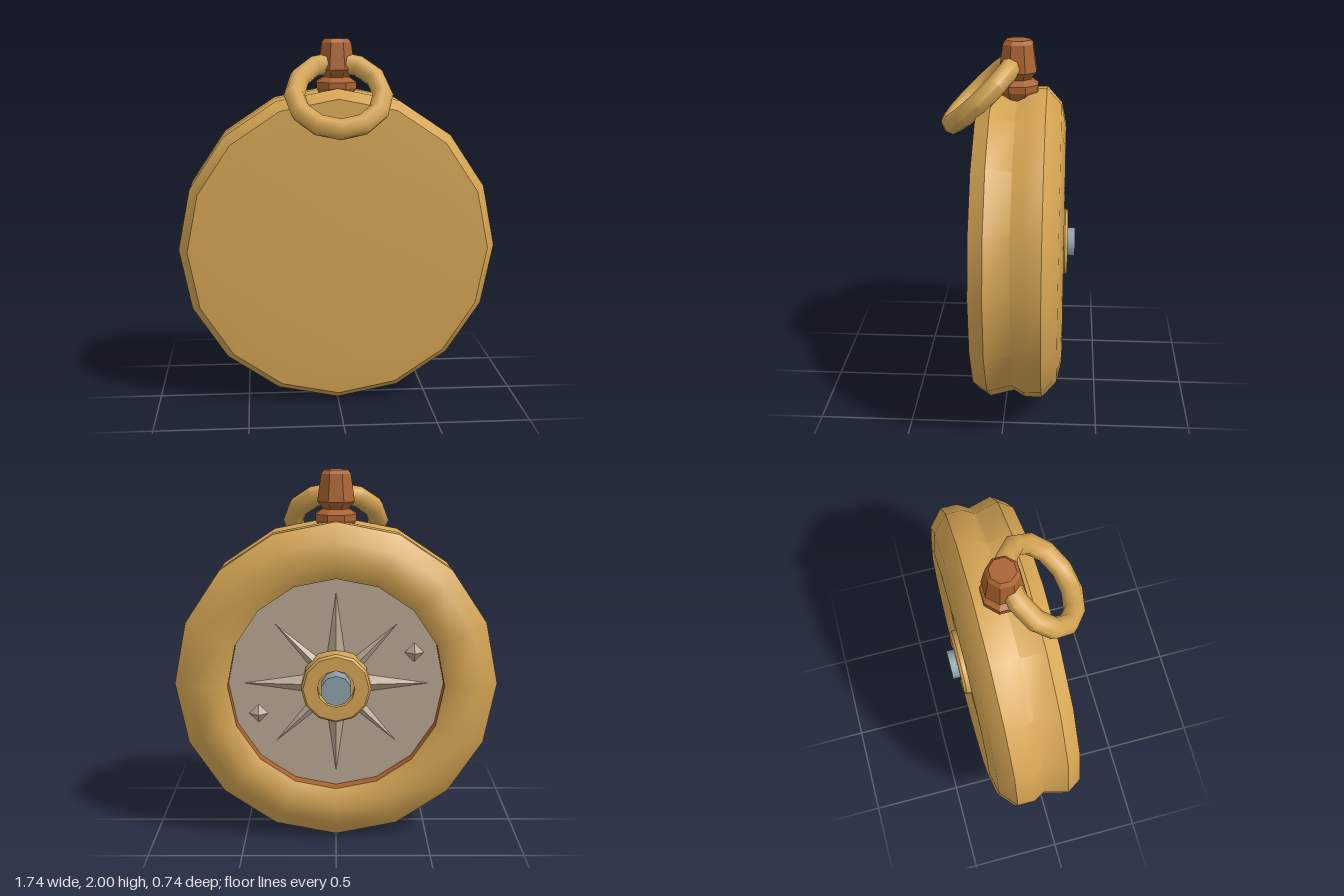
import * as THREE from 'three';
import { toCreasedNormals } from 'three/addons/utils/BufferGeometryUtils.js';

const material = (name, color) => {
  const m = new THREE.MeshStandardMaterial({ color });
  m.name = name;
  return m;
};

export function createModel() {
  const gold = material('gold', 0xd4a453);
  const copper = material('copper', 0xa9622f);
  const stone = material('pale stone', 0xb8a692);
  const steel = material('steel', 0x8ea1ab);

  const model = new THREE.Group();
  model.name = 'pocketCompass';
  const watch = new THREE.Group();
  watch.name = 'caseAssembly';
  watch.position.y = 0.87;
  model.add(watch);

  const add = (parent, name, geometry, mat, crease = 0.8) => {
    const mesh = new THREE.Mesh(toCreasedNormals(geometry, crease), mat);
    mesh.name = name;
    parent.add(mesh);
    return mesh;
  };
  const lathe = (points, sides, start = 0) =>
    new THREE.LatheGeometry(points.map(([r, h]) => new THREE.Vector2(r, h)), sides, start);
  // Profile of [radius, z] turned around the z axis
  const turnedZ = (points, sides) => lathe(points, sides).rotateX(Math.PI / 2);

  // Case: inner lip at the back, rounded rim, waist groove, flat front lid
  add(watch, 'case', turnedZ([
    [0.58, -0.27], [0.66, -0.31], [0.78, -0.285], [0.87, -0.205], [0.87, -0.11],
    [0.835, -0.05], [0.87, 0.08], [0.82, 0.157], [0.69, 0.167], [0, 0.168],
  ], 16), gold);

  // Recessed dial and its wall
  add(watch, 'dialWall', turnedZ([[0.58, -0.19], [0.58, -0.27]], 16), copper);
  const dial = add(watch, 'dial', new THREE.CircleGeometry(0.585, 16).rotateY(Math.PI), stone);
  dial.position.z = -0.2;

  // Eight-pointed star of ridged spikes, alternating long and short
  for (let i = 0; i < 8; i++) {
    const long = i % 2 === 0;
    const length = long ? 0.5 : 0.46;
    const spike = new THREE.ConeGeometry(1, 1, 4)
      .translate(0, 0.5, 0)
      .scale(long ? 0.07 : 0.05, length, long ? 0.05 : 0.04)
      .rotateZ(i * Math.PI / 4);
    add(watch, 'starSpike', spike, stone, 0.05).position.z = -0.2;
  }

  // Two small pyramid studs
  for (const s of [-1, 1]) {
    const stud = new THREE.ConeGeometry(0.055, 0.05, 4).rotateX(-Math.PI / 2);
    add(watch, 'dialStud', stud, stone, 0.05).position.set(s * 0.42, -s * 0.17, -0.222);
  }

  // Hub with a socket, and the pin in it
  add(watch, 'hub', turnedZ([
    [0.1, -0.26], [0.1, -0.33], [0.175, -0.33], [0.187, -0.315], [0.187, -0.2],
  ], 12), gold, 0.6);
  add(watch, 'hubFloor', new THREE.CircleGeometry(0.1, 12).rotateY(Math.PI), gold)
    .position.z = -0.26;
  add(watch, 'pin', new THREE.CylinderGeometry(0.082, 0.082, 0.17, 10).rotateX(Math.PI / 2), steel)
    .position.z = -0.285;

  // Octagonal crown with neck and flange
  const crown = add(model, 'crown', lathe([
    [0, 1.68], [0.085, 1.68], [0.117, 1.735], [0.117, 1.768], [0.075, 1.795],
    [0.085, 1.81], [0.108, 1.835], [0.086, 1.98], [0.068, 2], [0, 2],
  ], 8, Math.PI / 8), copper, 0.3);
  crown.position.z = -0.05;

  // Tilted hanging ring through the crown
  const ring = add(model, 'hangingRing', new THREE.TorusGeometry(0.235, 0.056, 8, 12), gold, 0.9);
  ring.position.set(0, 1.712, 0.142);
  ring.rotation.x = -0.8;

  return model;
}
